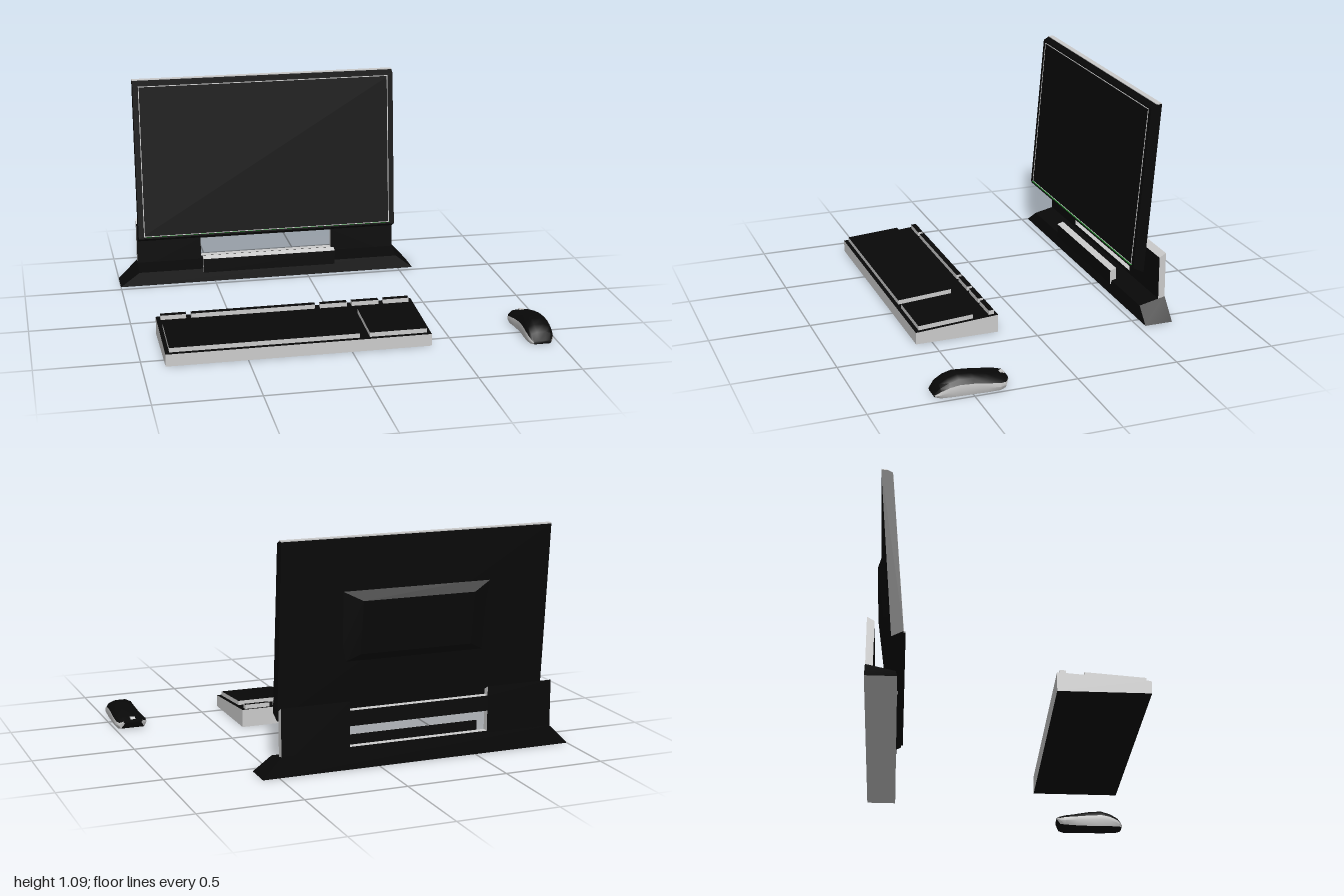
import * as THREE from 'three';
import { toCreasedNormals } from 'three/addons/utils/BufferGeometryUtils.js';

const mat = (name, color) => {
  const m = new THREE.MeshStandardMaterial({ color });
  m.name = name;
  return m;
};

export function createModel() {
  const black = mat('black plastic', 0x080808);
  const grey = mat('light grey plastic', 0xcccccc);
  const green = mat('green accent', 0x0f7a18);
  const root = new THREE.Group();

  const add = (parent, name, geo, material) => {
    const mesh = new THREE.Mesh(geo, material);
    mesh.name = name;
    parent.add(mesh);
    return mesh;
  };

  // Box between limits; rule(p, top, front) may move each corner.
  // Face materials run: +x, -x, top, bottom, front, back.
  const block = ([x0, x1], [y0, y1], [z0, z1], rule) => {
    const g = new THREE.BoxGeometry(x1 - x0, y1 - y0, z1 - z0);
    g.translate((x0 + x1) / 2, (y0 + y1) / 2, (z0 + z1) / 2);
    const pos = g.attributes.position, p = new THREE.Vector3();
    for (let i = 0; rule && i < pos.count; i++) {
      p.fromBufferAttribute(pos, i);
      rule(p, p.y > (y0 + y1) / 2, p.z > (z0 + z1) / 2);
      pos.setXYZ(i, p.x, p.y, p.z);
    }
    g.computeVertexNormals();
    return g;
  };

  // Side profile of [z, y] points extruded along x
  const profileX = (pts, x0, x1) => {
    const shape = new THREE.Shape(pts.map(([z, y]) => new THREE.Vector2(-z, y)));
    const g = new THREE.ExtrudeGeometry(shape, { depth: x1 - x0, bevelEnabled: false });
    return g.rotateY(Math.PI / 2).translate(x0, 0, 0);
  };

  // ---- Monitor ----
  const monitor = new THREE.Group();
  monitor.name = 'monitor';
  root.add(monitor);
  add(monitor, 'monitorCase', profileX([
    [-0.515, 0.265], [-0.57, 0.237], [-0.64, 1.091], [-0.613, 1.091], [-0.585, 1.075],
  ], -0.9, 0.47), black);
  add(monitor, 'topEdge', block([-0.9, 0.47], [1.089, 1.094], [-0.64, -0.612]), grey);

  // Tapered hump on the back
  add(monitor, 'backHousing', block([-0.62, 0.19], [0.47, 0.85], [-0.645, -0.58], (p, top, front) => {
    if (front) p.z = top ? -0.61 : -0.575;
    else {
      p.x = p.x < -0.2 ? -0.5 : 0.07;
      p.y = top ? 0.79 : 0.53;
      p.z = top ? -0.647 : -0.612;
    }
  }), black);

  // Screen border and green lower lip, tilted with the front face
  const face = new THREE.Group();
  face.name = 'screenFace';
  face.position.set(-0.215, 0.67, -0.55);
  face.rotation.x = -0.0862;
  monitor.add(face);
  const border = (w, h, t) => {
    const rect = (C, a, b) => new C([[-a, -b], [a, -b], [a, b], [-a, b]].map(([x, y]) => new THREE.Vector2(x, y)));
    const s = rect(THREE.Shape, w, h);
    s.holes.push(rect(THREE.Path, w - t, h - t));
    return new THREE.ExtrudeGeometry(s, { depth: 0.002, bevelEnabled: false });
  };
  add(face, 'screenBorder', border(0.657, 0.397, 0.004), grey);
  add(face, 'screenLip', block([-0.657, 0.663], [-0.404, -0.396], [0, 0.009]),
    [black, black, green, black, black, black]);

  // ---- Stand ----
  const stand = new THREE.Group();
  stand.name = 'stand';
  root.add(stand);
  add(stand, 'standBase', block([-1, 0.58], [0, 0.08], [-0.68, -0.537], (p, top, front) => {
    if (!top) return;
    p.x = p.x < 0 ? -0.9 : 0.49;
    p.y = front ? 0.07 : 0.1;
    if (front) p.z = -0.545;
  }), [black, black, black, grey, black, black]);
  add(stand, 'frontRail', block([-0.56, 0.15], [0.05, 0.135], [-0.57, -0.537], (p, top, front) => {
    if (top && front) p.y = 0.125;
  }), [grey, grey, grey, black, black, black]);

  // Rear plate with a slot and a shallow notch along its top
  const plate = new THREE.Shape([
    [-0.9, 0.05], [0.49, 0.05], [0.49, 0.33], [0.15, 0.33], [0.15, 0.285],
    [-0.56, 0.285], [-0.56, 0.33], [-0.9, 0.33],
  ].map(([x, y]) => new THREE.Vector2(x, y)));
  plate.holes.push(new THREE.Path([
    [-0.56, 0.11], [-0.56, 0.21], [0.15, 0.21], [0.15, 0.11],
  ].map(([x, y]) => new THREE.Vector2(x, y))));
  const plateGeo = new THREE.ExtrudeGeometry(plate, { depth: 0.034, bevelEnabled: false });
  plateGeo.translate(0, 0, -0.679);
  const pp = plateGeo.attributes.position;
  for (let i = 0; i < pp.count; i++) {
    if (pp.getY(i) > 0.32 && pp.getZ(i) > -0.66) pp.setY(i, 0.31);
  }
  plateGeo.computeVertexNormals();
  add(stand, 'rearPlate', plateGeo, [black, grey]);

  // ---- Keyboard ----
  const keyboard = new THREE.Group();
  keyboard.name = 'keyboard';
  root.add(keyboard);
  const deck = z => 0.06 + (0.58 - z) * 0.0715;
  const keyMats = [grey, grey, black, black, grey, grey];
  add(keyboard, 'keyboardBody', block([-0.89, 0.39], [0, 0.09], [0.162, 0.58], (p, top) => {
    if (top) p.y = deck(p.z);
  }), keyMats);
  const keys = (name, xs, zs, h) => add(keyboard, name, block(xs, [0, 0.1], zs, (p, top) => {
    p.y = deck(p.z) + (top ? h : -0.01);
  }), keyMats);
  keys('mainKeys', [-0.87, 0.042], [0.285, 0.56], 0.022);
  keys('numberKeys', [0.09, 0.37], [0.285, 0.56], 0.022);
  [[-0.87, -0.745], [-0.72, -0.105], [-0.08, 0.055], [0.08, 0.215], [0.24, 0.37]]
    .forEach(xs => keys('functionKeys', xs, [0.177, 0.203], 0.022));

  // ---- Mouse: lofted rings [z, centre x, half width, bottom, top] ----
  const rings = [
    [0.675, 0.915, 0.045, 0.004, 0.02], [0.65, 0.915, 0.062, 0, 0.055],
    [0.61, 0.915, 0.068, 0, 0.08], [0.565, 0.917, 0.07, 0, 0.094],
    [0.5, 0.92, 0.07, 0, 0.09], [0.43, 0.92, 0.075, 0, 0.077],
    [0.37, 0.915, 0.08, 0, 0.063], [0.342, 0.915, 0.07, 0.006, 0.056],
    [0.327, 0.915, 0.05, 0.035, 0.052],
  ];
  const section = [[-0.85, 0], [-1, 0.35], [-0.96, 0.62], [-0.78, 0.85], [-0.35, 1],
    [0.35, 1], [0.78, 0.85], [0.96, 0.62], [1, 0.35], [0.85, 0]];
  const n = section.length;
  const at = (i, j) => {
    const [z, cx, w, y0, y1] = rings[i], [u, v] = section[j % n];
    return [cx + u * w, y0 + v * (y1 - y0), z];
  };
  const shell = [], sides = [];
  for (let i = 0; i < rings.length - 1; i++) {
    for (let j = 0; j < n; j++) {
      const a = at(i, j), b = at(i, j + 1), c = at(i + 1, j + 1), d = at(i + 1, j);
      const isSide = j < 2 || j === 7 || j === 8;
      (isSide ? sides : shell).push(...a, ...b, ...c, ...a, ...c, ...d);
    }
  }
  const last = rings.length - 1;
  for (let k = 1; k < n - 1; k++) {
    shell.push(...at(0, 0), ...at(0, k + 1), ...at(0, k));
    shell.push(...at(last, 0), ...at(last, k), ...at(last, k + 1));
  }
  const loft = arr => {
    const g = new THREE.BufferGeometry();
    g.setAttribute('position', new THREE.Float32BufferAttribute(arr, 3));
    return toCreasedNormals(g, 0.7);
  };
  const mouse = new THREE.Group();
  mouse.name = 'mouse';
  root.add(mouse);
  add(mouse, 'mouseShell', loft(shell), black);
  add(mouse, 'mouseSides', loft(sides), grey);
  const wheel = add(mouse, 'scrollWheel', new THREE.CylinderGeometry(0.014, 0.014, 0.024, 16), grey);
  wheel.rotation.z = Math.PI / 2;
  wheel.position.set(0.915, 0.049, 0.342);

  return root;
}
